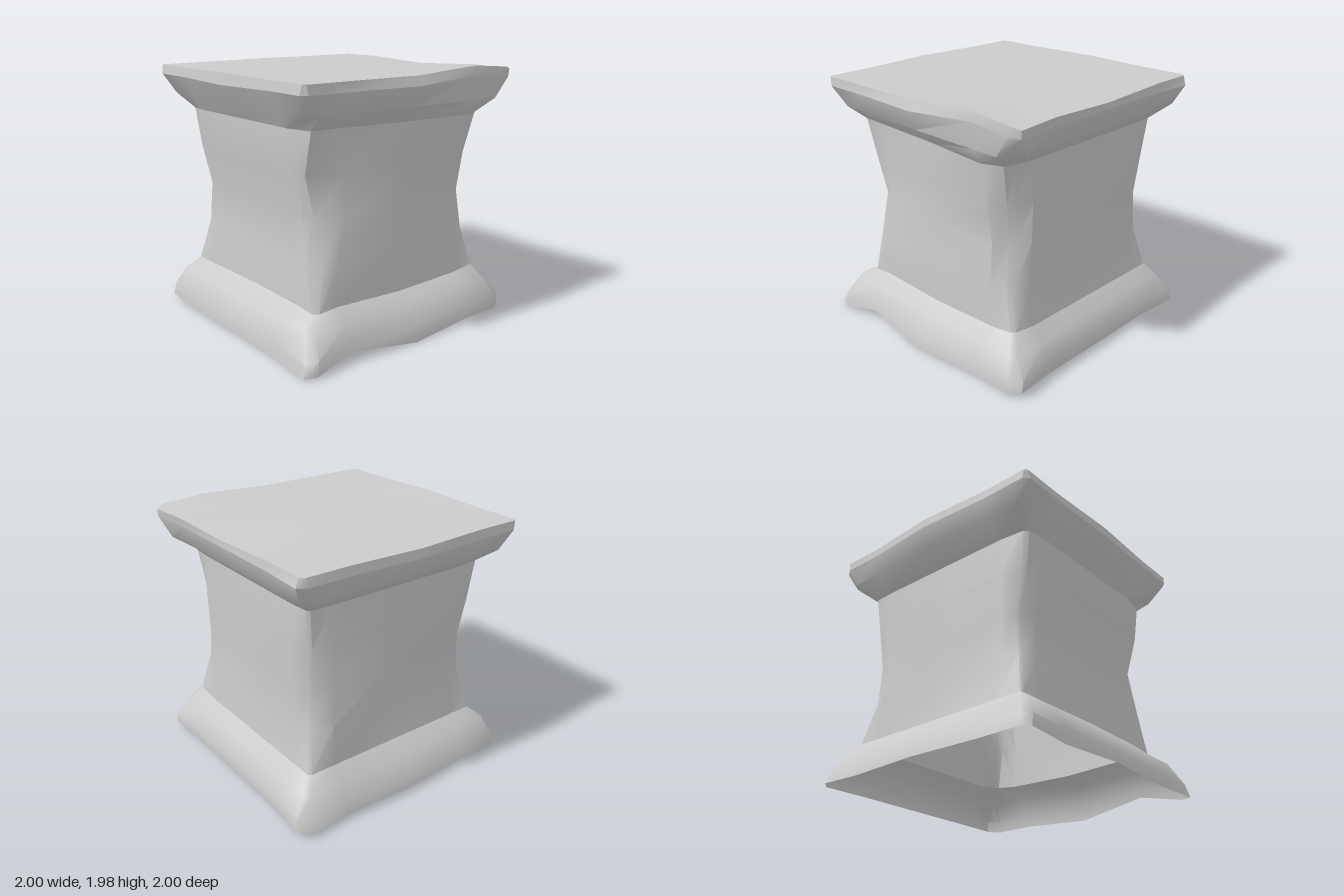
import * as THREE from 'three';
import { toCreasedNormals } from 'three/addons/utils/BufferGeometryUtils.js';

// One worn square ring of 20 points, running anticlockwise seen from above.
// left/right/front/back are half widths. cuts are the corner chamfers and
// insets pull the corners inward (front -x, front +x, back +x, back -x).
// bulge swells the middle of the sides; nudges shift single points.
// Points: 0 corner, 1-3 front, 4-5 corner, 6-8 +x side, 9-10 corner,
// 11-13 back, 14-15 corner, 16-18 -x side, 19 corner.
function ring(y, [left, right, front, back], [a, b, c, d], { insets = [0, 0, 0, 0], bulge = 0, nudges = {} } = {}) {
  const [p, q, r, s] = insets;
  const mids = [-0.58, 0, 0.58];
  const swell = (t) => (t === 0 ? bulge : 0);
  const pts = [
    [-left + a + p, front - p], ...mids.map((t) => [t, front + swell(t) * 0.5]), [right - b - q, front - q],
    [right - q, front - b - q], ...mids.map((t) => [right + swell(t), -t]), [right - r, -back + c + r],
    [right - c - r, -back + r], ...mids.map((t) => [-t, -back]), [-left + d + s, -back + s],
    [-left + s, -back + d + s], ...mids.map((t) => [-left - swell(t), t]), [-left + p, front - a - p],
  ];
  return pts.map(([x, z], i) => {
    const [dx, dy, dz] = nudges[i] || [0, 0, 0];
    return [x + dx, y + dy, z + dz];
  });
}

// Skins a stack of rings, keeping edges sharper than the crease angle
function loft(name, rings, crease, material) {
  const n = rings[0].length;
  const index = [];
  for (let k = 0; k < rings.length - 1; k++) {
    for (let i = 0; i < n; i++) {
      const j = (i + 1) % n;
      const a = k * n + i, b = k * n + j;
      index.push(a, b, b + n, a, b + n, a + n);
    }
  }
  const geometry = new THREE.BufferGeometry();
  geometry.setAttribute('position', new THREE.Float32BufferAttribute(rings.flat(2), 3));
  geometry.setIndex(index);
  const mesh = new THREE.Mesh(toCreasedNormals(geometry, crease), material);
  mesh.name = name;
  return mesh;
}

export function createModel() {
  const group = new THREE.Group();
  group.name = 'pedestal';
  const stone = new THREE.MeshStandardMaterial({ color: 0xcccccc, side: THREE.DoubleSide });

  // Rings shared by neighbouring parts
  const baseTop = ring(0.36, [0.79, 0.79, 0.78, 0.8], [0.01, 0.04, 0.03, 0.02], {
    nudges: { 2: [0, 0.01, 0], 4: [0, -0.015, 0], 5: [0, -0.015, 0], 7: [0, -0.02, 0], 9: [0, 0.025, 0], 10: [0, 0.025, 0] },
  });
  const columnTop = ring(1.615, [0.77, 0.77, 0.83, 0.78], [0.03, 0.04, 0.03, 0.02], {
    insets: [0.02, 0.01, 0.02, 0.01],
    nudges: { 3: [-0.1, 0, 0], 4: [-0.16, 0, 0.01], 7: [0.02, -0.01, 0], 8: [0.1, 0, 0], 9: [0.06, 0, 0] },
  });
  const cornicePeak = ring(1.875, [0.955, 0.95, 0.98, 0.95], [0.04, 0.04, 0.05, 0.05], {
    bulge: 0.035,
    nudges: { 2: [0, -0.01, 0], 8: [-0.01, 0.035, 0], 9: [0, 0.01, 0], 10: [0.01, 0, -0.03], 14: [-0.01, 0, -0.02] },
  });

  // Flared foot with an uneven lower edge, open underneath
  const foot = [0.05, 0.05, 0.06, 0.06];
  group.add(loft('base', [
    ring(0.035, [0.97, 0.96, 0.97, 0.96], foot, {
      bulge: 0.03,
      nudges: {
        1: [0, -0.025, 0], 3: [0, -0.025, 0], 4: [0.05, -0.03, 0.03], 5: [0.035, -0.025, -0.01],
        6: [-0.01, 0.045, 0], 7: [0, -0.035, 0], 10: [0, 0.01, -0.03], 14: [0, 0.01, -0.04], 15: [-0.02, 0, 0],
      },
    }),
    ring(0.13, [0.95, 0.95, 0.96, 0.96], foot, {
      bulge: 0.03,
      nudges: { 4: [0.03, -0.03, 0.02], 5: [0.045, -0.01, -0.01], 6: [-0.02, 0.01, 0], 10: [0, 0, -0.03], 14: [0, 0, -0.03] },
    }),
    ring(0.26, [0.88, 0.88, 0.9, 0.89], [0.04, 0.05, 0.04, 0.04], { bulge: 0.01 }),
    baseTop,
  ], 0.78, stone));

  // Waisted column: corners worn inward, one front corner chipped
  group.add(loft('column', [
    baseTop,
    ring(0.69, [0.755, 0.795, 0.76, 0.77], [0.02, 0.08, 0.03, 0.02], {
      insets: [0.04, 0, 0.05, 0.04],
      nudges: { 4: [-0.05, 0, 0], 5: [-0.04, 0, 0], 16: [-0.035, 0, 0] },
    }),
    ring(1.0, [0.765, 0.77, 0.745, 0.775], [0.02, 0.18, 0.03, 0.02], {
      insets: [0.05, 0, 0.07, 0.06],
      nudges: { 3: [-0.08, 0, 0], 5: [-0.1, 0, 0.13], 6: [0, 0, -0.08] },
    }),
    ring(1.31, [0.78, 0.78, 0.82, 0.785], [0.03, 0.2, 0.03, 0.02], {
      insets: [0.05, 0, 0.06, 0.045],
      nudges: { 3: [-0.1, 0, 0], 5: [-0.09, 0, 0.16], 6: [0, 0, -0.06], 8: [0.035, 0, 0], 9: [0.02, 0, 0] },
    }),
    columnTop,
  ], 0.6, stone));

  // Overhanging cornice
  group.add(loft('cornice', [
    columnTop,
    ring(1.73, [0.91, 0.9, 0.9, 0.9], [0.06, 0.08, 0.1, 0.05], {
      bulge: 0.03, nudges: { 8: [0.04, 0, 0], 9: [0.045, 0, 0], 10: [0, 0, -0.03] },
    }),
    cornicePeak,
  ], 0.78, stone));

  // Thin slab on top, lifted near one back corner
  const rim = ring(1.945, [0.95, 0.945, 0.97, 0.945], [0.02, 0.02, 0.03, 0.03], {
    bulge: 0.035,
    nudges: {
      2: [0, 0.008, 0], 7: [-0.03, 0, 0], 8: [-0.01, 0.035, 0], 9: [0, 0.01, 0],
      10: [0, -0.01, -0.04], 11: [0, 0, -0.025], 12: [0, -0.025, 0],
    },
  });
  const shrunk = (scale) => rim.map(([x, , z]) => [x * scale, 1.943, z * scale]);
  group.add(loft('slab', [cornicePeak, rim, shrunk(0.65), shrunk(0)], 0.7, stone));

  return group;
}
